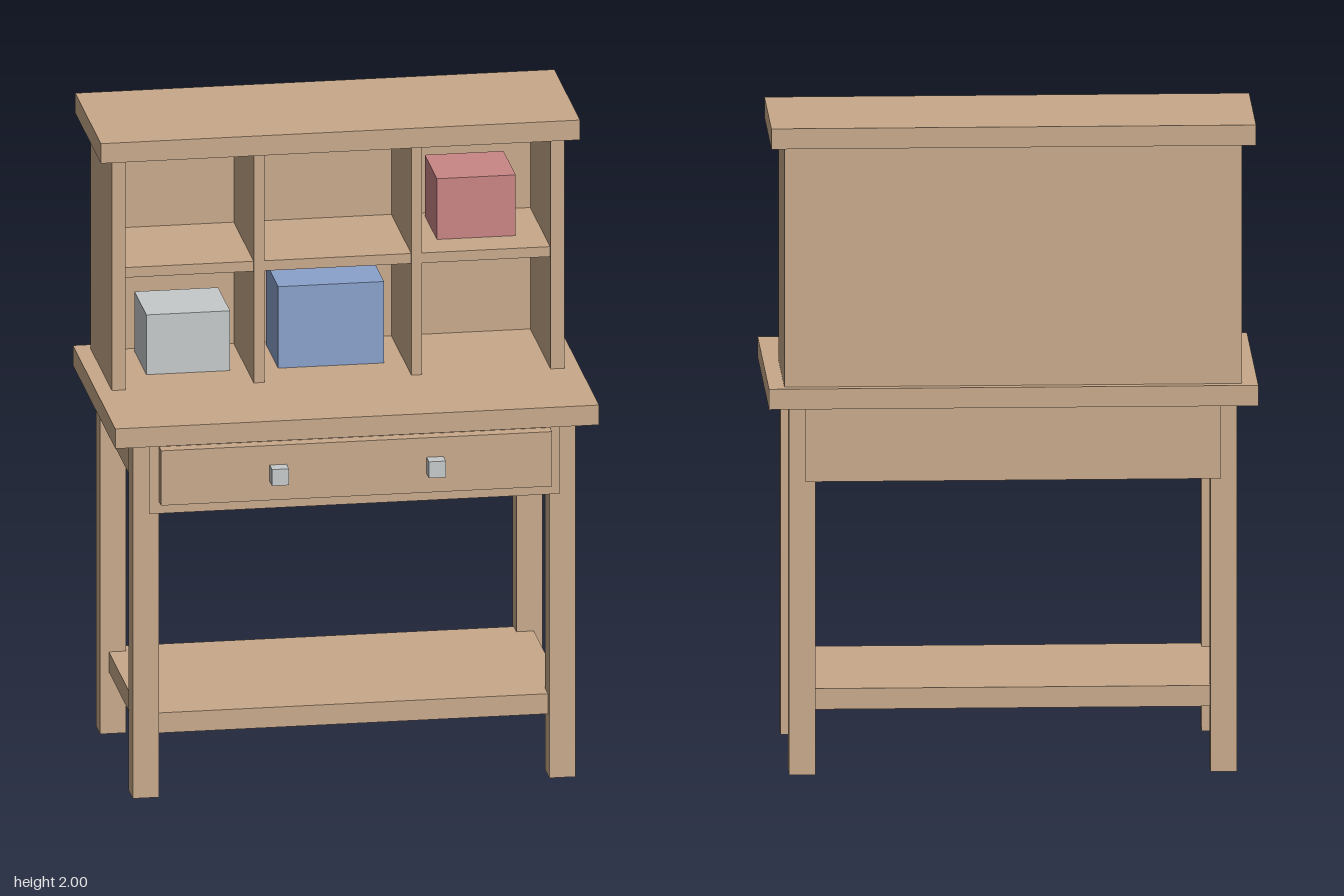
import * as THREE from 'three';

const paint = (name, color) => {
  const m = new THREE.MeshStandardMaterial({ color });
  m.name = name;
  return m;
};

export function createModel() {
  const desk = new THREE.Group();
  desk.name = 'deskWithHutch';
  const wood = paint('wood', 0xc8a98b);
  const grey = paint('grey', 0xc5c9ca);
  const blue = paint('blue', 0x8aa1cb);
  const red = paint('red', 0xc98585);

  // Adds a box given its [min, max] extent on each axis
  const box = (name, material, [x0, x1], [y0, y1], [z0, z1]) => {
    const mesh = new THREE.Mesh(new THREE.BoxGeometry(x1 - x0, y1 - y0, z1 - z0), material);
    mesh.position.set((x0 + x1) / 2, (y0 + y1) / 2, (z0 + z1) / 2);
    mesh.name = name;
    desk.add(mesh);
  };
  // Adds the same box on both sides of x = 0
  const pair = (name, material, [x0, x1], y, z) => {
    box(name + 'Left', material, [x0, x1], y, z);
    box(name + 'Right', material, [-x1, -x0], y, z);
  };

  // Table: top, drawer case, legs and lower shelf
  box('tableTop', wood, [-0.74, 0.74], [1.135, 1.198], [-0.425, 0.395]);
  box('drawerCase', wood, [-0.628, 0.628], [0.905, 1.135], [-0.39, 0.343]);
  pair('frontLeg', wood, [0.597, 0.677], [0, 1.135], [0.255, 0.335]);
  pair('backLeg', wood, [0.597, 0.677], [0, 1.135], [-0.377, -0.298]);
  box('lowerShelf', wood, [-0.65, 0.65], [0.196, 0.26], [-0.35, 0.31]);

  // Drawer front and knobs
  box('drawerFront', wood, [-0.598, 0.598], [0.943, 1.117], [0.343, 0.383]);
  pair('knob', grey, [0.214, 0.266], [1.003, 1.055], [0.383, 0.428]);

  // Hutch: sides, back, cornice, dividers and shelf
  pair('hutchSide', wood, [0.65, 0.692], [1.198, 1.937], [-0.39, 0.026]);
  box('hutchBack', wood, [-0.69, 0.69], [1.198, 1.937], [-0.394, -0.367]);
  box('hutchTop', wood, [-0.733, 0.733], [1.937, 2], [-0.425, 0.072]);
  pair('divider', wood, [0.225, 0.257], [1.198, 1.937], [-0.367, 0.02]);
  box('hutchShelf', wood, [-0.65, 0.65], [1.552, 1.584], [-0.367, 0.017]);

  // Storage boxes in the cubbies
  box('greyBox', grey, [-0.565, -0.309], [1.198, 1.388], [-0.34, -0.11]);
  box('blueBox', blue, [-0.162, 0.162], [1.198, 1.457], [-0.34, -0.11]);
  box('redBox', red, [0.323, 0.564], [1.584, 1.777], [-0.34, -0.105]);

  return desk;
}
